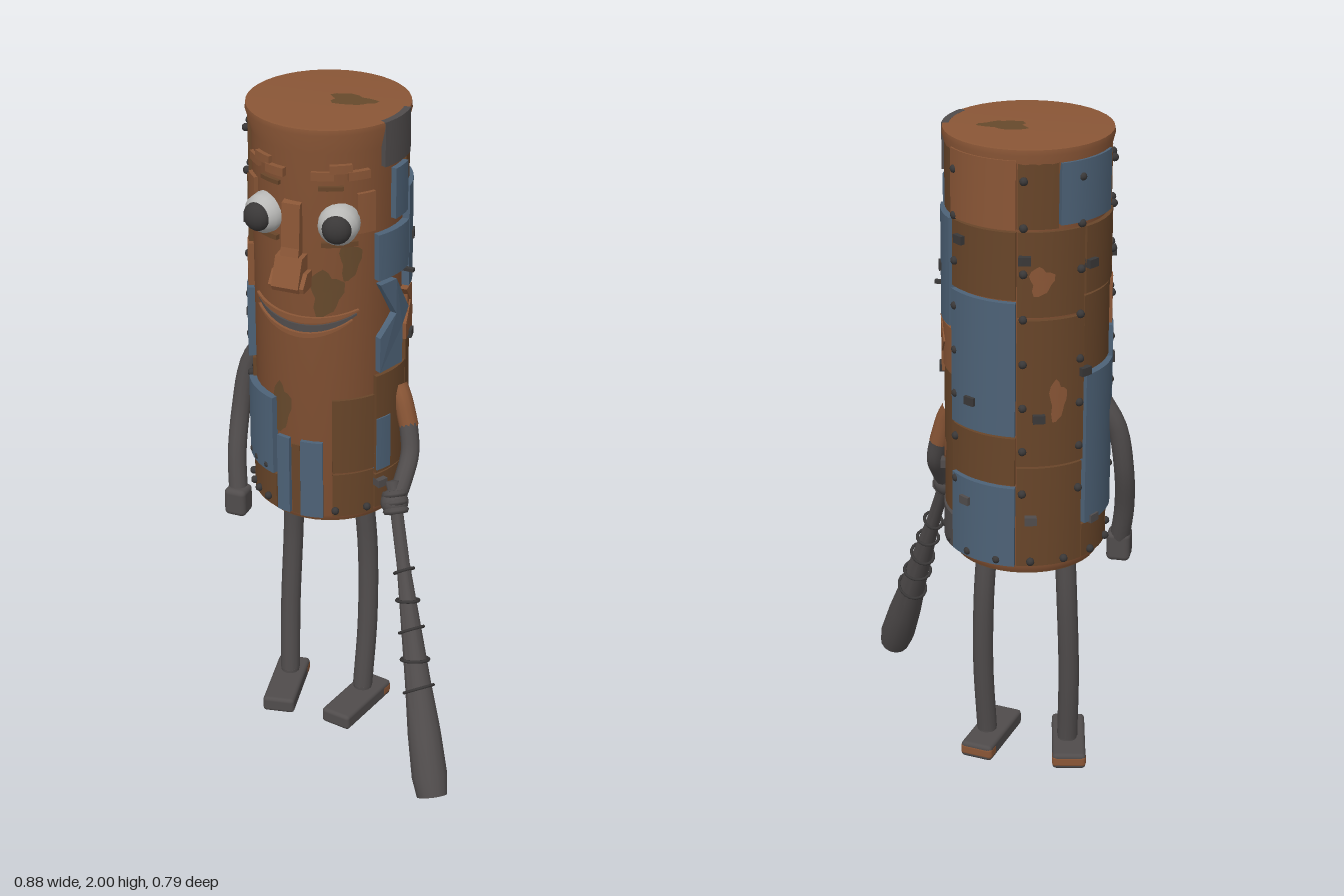
import * as THREE from 'three';
import { toCreasedNormals } from 'three/addons/utils/BufferGeometryUtils.js';
import { RoundedBoxGeometry } from 'three/addons/geometries/RoundedBoxGeometry.js';

const CX = -0.14, CZ = -0.16, R = 0.22, RAD = Math.PI / 180;

const paint = (name, color) => Object.assign(new THREE.MeshStandardMaterial({ color }), { name });
const rust = paint('rust', 0x8a5636);
const brown = paint('brown', 0x684529);
const blue = paint('steelBlue', 0x4d6277);
const grey = paint('darkGrey', 0x504c4c);
const iron = paint('iron', 0x3a3838);
const white = paint('eyeWhite', 0xb9b9b7);
const olive = paint('oliveStain', 0x66492c);

export function createModel() {
  const model = new THREE.Group();
  const add = (name, geo, mat, parent = model) => {
    const mesh = new THREE.Mesh(geo, mat);
    mesh.name = name;
    parent.add(mesh);
    return mesh;
  };
  const group = (name) => {
    const g = new THREE.Group();
    g.name = name;
    model.add(g);
    return g;
  };
  // point on the can: angle in degrees from the front towards +x
  const at = (a, y, r) => new THREE.Vector3(CX + Math.sin(a * RAD) * r, y, CZ + Math.cos(a * RAD) * r);
  // wraps a flat geometry around the can: x is arc length, z is depth
  const bend = (geo, a, y, r = R) => {
    const p = geo.attributes.position;
    for (let i = 0; i < p.count; i++) {
      const v = at(a + p.getX(i) / R / RAD, y + p.getY(i), r + p.getZ(i));
      p.setXYZ(i, v.x, v.y, v.z);
    }
    geo.computeVertexNormals();
    return geo;
  };
  const panel = (a0, a1, y0, y1, t) => bend(
    new THREE.BoxGeometry((a1 - a0) * RAD * R, y1 - y0, t, Math.ceil((a1 - a0) / 6), 1, 1),
    (a0 + a1) / 2, (y0 + y1) / 2, R + t / 2 - 0.003);
  const vec2s = (pts) => pts.map(([x, y]) => new THREE.Vector2(x, y));
  const plate = (pts, depth) =>
    new THREE.ExtrudeGeometry(new THREE.Shape(vec2s(pts)), { depth, bevelEnabled: false });
  const lathe = (pts, sides) => toCreasedNormals(new THREE.LatheGeometry(vec2s(pts), sides), 0.7);
  const tube = (r, ...pts) => new THREE.TubeGeometry(
    new THREE.CatmullRomCurve3(pts.map((p) => new THREE.Vector3(...p))), 16, r, 12);

  // can body with flared lip
  add('canBody', lathe([[0, 0.745], [0.208, 0.745], [0.219, 0.765], [R, 1.92],
    [0.236, 1.98], [0.234, 1.995], [0.222, 1.996], [0, 1.99]], 40), rust).position.set(CX, 0, CZ);
  add('bottomPlate', new THREE.CylinderGeometry(0.206, 0.206, 0.008, 40), brown).position.set(CX, 0.745, CZ);

  // columns of patch panels, each cut at the given heights; '-' leaves bare can
  const patches = group('patchPanels');
  const code = { b: blue, n: brown, g: grey, r: rust };
  const stack = (a0, a1, colours, ...cuts) => [...colours].forEach((c, i) => {
    if (c === '-') return;
    const t = (c === 'n' ? 0.012 : 0.02) + (i % 2) * 0.004 - (Math.cos(a0 * RAD) > 0.6 ? 0.005 : 0);
    add('panel', panel(a0, a1, cuts[i] + 0.004, cuts[i + 1] - 0.004, t), code[c], patches);
  });
  stack(-62, -22, 'nb', 0.76, 0.88, 1.14);
  stack(-20, -9, 'b', 0.76, 1.02);
  stack(-8, -1, 'n', 0.76, 1);
  stack(0, 17, 'b', 0.76, 1.02);
  stack(24, 57, 'nn', 0.76, 0.91, 1.16);
  stack(58, 71, 'b', 0.9, 1.08);
  stack(58, 93, 'nn-b', 0.77, 0.89, 1.22, 1.52, 1.67);
  stack(75, 93, 'b', 1.69, 1.85);
  stack(64, 98, 'g', 1.86, 2);
  stack(94, 128, 'gnrbn', 0.77, 0.88, 1.31, 1.45, 1.77, 1.97);
  stack(129, 183, 'bnbnr', 0.77, 1.02, 1.17, 1.57, 1.77, 1.97);
  stack(184, 233, 'nnn', 0.77, 1.08, 1.52, 1.77);
  stack(184, 212, 'n', 1.77, 1.97);
  stack(213, 262, 'b', 1.78, 1.96);
  stack(234, 273, 'nbnn', 0.77, 0.88, 1.34, 1.57, 1.77);
  stack(274, 300, 'nbrnn', 0.77, 1.2, 1.43, 1.57, 1.78, 1.95);

  // chevron patch and trim on the side
  const chevron = (w, h, kink) => plate([[-w, h], [0, h], [kink, 0.02], [0.03, -0.02],
    [0.03, -h], [-w, -h], [-w, -0.03], [kink - 0.07, 0.03]], 0.022);
  add('chevronPatch', bend(chevron(0.06, 0.14, 0.07), 75, 1.37), blue);
  add('chevronTrim', bend(chevron(0.05, 0.08, 0.06), 102, 1.37), rust);

  // irregular stains lying on the surface
  const stains = group('stains');
  const blob = (w, h) => {
    const g = new THREE.RingGeometry(0.001, 1, 18, 4), p = g.attributes.position;
    for (let i = 0; i < p.count; i++) {
      const t = Math.atan2(p.getY(i), p.getX(i));
      const k = 1 + 0.18 * Math.sin(3 * t + 1) + 0.12 * Math.sin(5 * t);
      p.setXY(i, p.getX(i) * w * k, p.getY(i) * h * k);
    }
    return g;
  };
  const stain = (mat, lift, a, y, w, h) =>
    add('stain', bend(blob(w, h), a, y, R + lift), mat, stains);
  stain(olive, 0.002, 20, 1.5, 0.045, 0.07);
  stain(olive, 0.002, 38, 1.6, 0.03, 0.06);
  stain(olive, 0.002, -17, 1.11, 0.03, 0.08);
  stain(rust, 0.015, 212, 1.28, 0.022, 0.06);
  stain(rust, 0.015, 200, 1.63, 0.03, 0.04);
  stain(rust, 0.015, 110, 1.06, 0.02, 0.04);
  const topStain = add('topStain', blob(0.065, 0.04), olive, stains);
  topStain.rotation.x = -Math.PI / 2;
  topStain.position.set(-0.08, 1.996, -0.18);

  // rivets along the hem and panel seams, and scattered tabs
  const rivets = group('rivets');
  const rivet = (a, y) => add('rivet', new THREE.SphereGeometry(0.012, 8, 6), iron, rivets)
    .position.copy(at(a, y, R + 0.014));
  for (let a = 26; a < 310; a += 24) rivet(a, 0.79);
  for (const a of [-56, -44, -30]) [0.79, 0.9].forEach((y) => rivet(a, y));
  for (let y = 1; y < 1.95; y += 0.13) [133, 188, 229, 277, 291].forEach((a) => rivet(a, y));
  for (let i = 0; i < 15; i++) {
    const a = 62 + (i * 137) % 230, y = 0.86 + (i * 0.37) % 1.08;
    add('tab', panel(a - 4, a + 4, y - 0.012, y + 0.012, 0.03), i % 3 ? iron : grey, rivets);
  }
  add('sideTab', panel(86, 89, 1.515, 1.525, 0.05), iron, rivets);
  for (let y = 0.93; y < 1.1; y += 0.05) add('clip', panel(-32, -25, y, y + 0.008, 0.02), iron, rivets);

  // eyes, brows, lids and cheek plates
  for (const s of [-1, 1]) {
    const eye = group(s < 0 ? 'rightEye' : 'leftEye');
    eye.position.set(CX + s * 0.108, 1.715, 0.025);
    eye.rotation.y = s * 14 * RAD;
    add('eyeball', lathe([[0, -0.06], [0.052, -0.06], [0.06, 0], [0.056, 0.035],
      [0.042, 0.052], [0, 0.054]], 20), white, eye).rotation.x = Math.PI / 2;
    const pupil = add('pupil', new THREE.SphereGeometry(0.042, 16, 10), iron, eye);
    pupil.scale.z = 0.75;
    pupil.position.z = 0.052;
    // stepped brow
    [-1, 0, 1].forEach((k) => {
      const a = s * 31 + k * 13, y = k ? 1.845 : 1.866;
      add('brow', panel(a - 8, a + 8, y, y + 0.025, 0.016 + k * 0.003), rust);
    });
    add('browFold', panel(s * 24 - 9, s * 24 + 9, 1.815, 1.827, 0.014), brown);
    add('lowerLid', panel(s * 30 - 13, s * 30 + 13, 1.645, 1.66, 0.016), brown);
    add('cheekPlate', panel(s * 50 - 7, s * 50 + 7, 1.68, 1.8, 0.014), rust);
  }

  // nose: slices cut from side profiles
  const noseSlice = (name, w, pts) => {
    const g = plate(pts, w);
    g.rotateY(-Math.PI / 2); // profile x becomes z
    g.translate(-0.157 + w / 2, 0, 0);
    add(name, g, rust);
  };
  noseSlice('noseBridge', 0.055, [[0.1, 1.59], [0.085, 1.64], [0.075, 1.77], [0.03, 1.78], [0.03, 1.59]]);
  noseSlice('noseTip', 0.082, [[0.12, 1.52], [0.128, 1.535], [0.095, 1.615], [0.03, 1.62], [0.03, 1.525]]);
  noseSlice('nostrils', 0.108, [[0.115, 1.52], [0.12, 1.535], [0.09, 1.57], [0.03, 1.57], [0.03, 1.52]]);

  // smiling mouth: bands that sag and thicken in the middle
  const smile = (name, mat, half, sag, h, y, t) => {
    const g = new THREE.BoxGeometry(half * 2, h, t, 20, 1, 1), p = g.attributes.position;
    for (let i = 0; i < p.count; i++) {
      const u = 1 - (p.getX(i) / half) ** 2;
      p.setY(i, p.getY(i) * (0.25 + 0.75 * u) - sag * u);
    }
    add(name, bend(g, 0, y, R + t / 2 - 0.004), mat);
  };
  smile('upperLip', rust, 0.17, 0.03, 0.018, 1.442, 0.012);
  smile('mouthGap', grey, 0.165, 0.044, 0.022, 1.428, 0.008);
  smile('lowerLip', rust, 0.15, 0.05, 0.014, 1.415, 0.016);

  // legs and slightly toed-in feet
  for (const s of [-1, 1]) {
    const x = s < 0 ? -0.25 : -0.025, side = s < 0 ? 'right' : 'left';
    add(side + 'Leg', tube(0.031, [x, 0.76, -0.14], [x + s * 0.012, 0.55, -0.15],
      [x + s * 0.018, 0.3, -0.135], [x + s * 0.012, 0.07, -0.11]), grey);
    add(side + 'Ankle', new THREE.CylinderGeometry(0.029, 0.029, 0.01, 12), grey)
      .position.set(x + s * 0.012, 0.066, -0.11);
    const foot = group(side + 'Foot');
    foot.position.set(s < 0 ? -0.26 : -0.02, 0.025, -0.075);
    foot.rotation.y = -s * 11 * RAD;
    add('shoe', new RoundedBoxGeometry(0.1, 0.05, 0.25, 2, 0.012), grey, foot);
    add('heelRust', new RoundedBoxGeometry(0.102, 0.04, 0.05, 2, 0.012), rust, foot).position.z = -0.101;
  }

  // hanging arm
  add('rightArm', tube(0.029, [-0.355, 1.2, -0.15], [-0.398, 1.12, -0.145], [-0.418, 0.98, -0.125],
    [-0.415, 0.84, -0.08], [-0.4, 0.73, -0.05]), grey);
  add('rightHand', new RoundedBoxGeometry(0.07, 0.09, 0.07, 3, 0.016), grey).position.set(-0.397, 0.7, -0.042);

  // bent arm with a rusty shoulder
  add('leftShoulder', tube(0.029, [0.08, 1.14, -0.15], [0.1, 1.1, -0.14], [0.124, 1.02, -0.13]), rust);
  add('leftForearm', tube(0.028, [0.122, 1.03, -0.131], [0.14, 0.95, -0.1], [0.14, 0.89, -0.05], [0.132, 0.83, 0]), grey);
  add('leftHand', new THREE.SphereGeometry(0.042, 14, 10), grey).position.set(0.13, 0.83, -0.002);
  for (let i = 0; i < 3; i++) {
    const finger = add('finger', new THREE.TorusGeometry(0.029, 0.011, 6, 12), grey);
    finger.position.set(0.128 + i * 0.006, 0.855 - i * 0.022, -0.008 + i * 0.01);
    finger.rotation.set(Math.PI / 2 - 0.42, 0.3, 0);
  }

  // club with wire rings, running from the hand to its thick end
  const club = group('club');
  const grip = new THREE.Vector3(0.115, 0.89, -0.025);
  const reach = new THREE.Vector3(0.392, 0.065, 0.345).sub(grip), len = reach.length();
  club.position.copy(grip);
  club.quaternion.setFromUnitVectors(new THREE.Vector3(0, 1, 0), reach.normalize());
  add('bat', lathe([[0, 0], [0.024, 0.004], [0.019, 0.035], [0.02, 0.25], [0.039, 0.6],
    [0.05, 0.75], [0.054, 0.88], [0.046, 0.94], [0, len]], 14), grey, club);
  for (let i = 0; i < 5; i++) {
    const ring = add('wireRing', new THREE.TorusGeometry(0.029 + i * 0.004, 0.005, 6, 16), iron, club);
    ring.position.y = 0.27 + i * 0.088;
    ring.rotation.x = Math.PI / 2 + (i % 2 ? 0.15 : -0.2);
  }

  return model;
}
